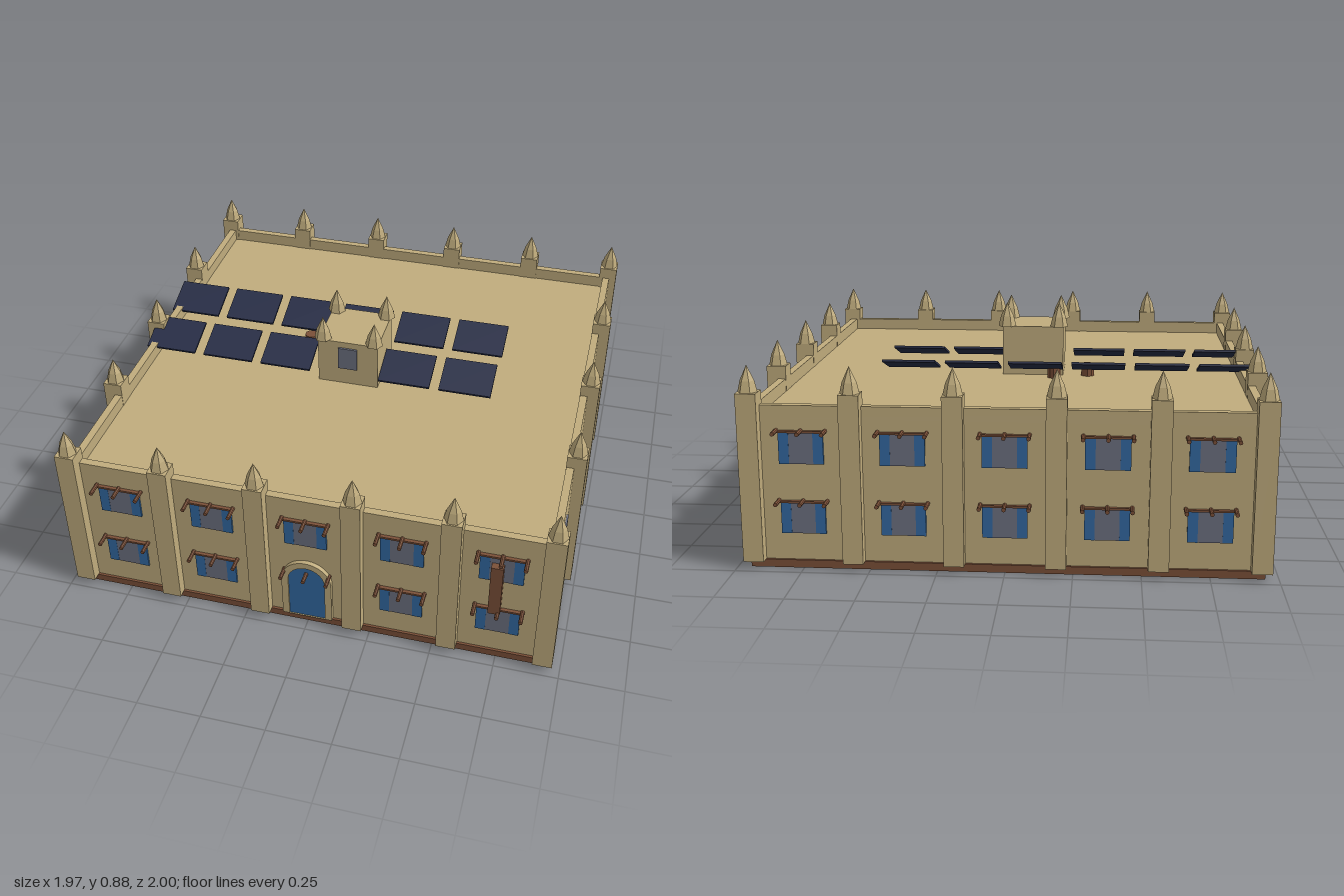
import * as THREE from 'three';

export function createModel() {
  const model = new THREE.Group();
  const mat = (name, color) => {
    const m = new THREE.MeshStandardMaterial({ color, flatShading: true });
    m.name = name;
    return m;
  };
  const stone = mat('sandstone', 0xc0ac7d);
  const wood = mat('brown wood', 0x7b5038);
  const blue = mat('blue paint', 0x3369a2);
  const glass = mat('grey glass', 0x6d7181);
  const navy = mat('navy panel', 0x262c45);

  const add = (parent, name, geo, material, x, y, z) => {
    const mesh = new THREE.Mesh(geo, material);
    mesh.name = name;
    mesh.position.set(x, y, z);
    parent.add(mesh);
    return mesh;
  };
  const box = (parent, name, material, w, h, d, x, y, z) =>
    add(parent, name, new THREE.BoxGeometry(w, h, d), material, x, y, z);

  // Foundation and main block with a sunken roof
  const WALL = 0.94, ROOF = 0.57, TOP = 0.62;
  box(model, 'foundation', wood, 1.9, 0.03, 1.9, 0, 0.015, 0);
  box(model, 'mainBlock', stone, WALL * 2, ROOF - 0.03, WALL * 2, 0, (ROOF + 0.03) / 2, 0);
  for (const s of [-1, 1]) {
    const y = (ROOF + TOP) / 2, h = TOP - ROOF;
    box(model, 'parapet', stone, WALL * 2, h, 0.03, 0, y, s * (WALL - 0.015));
    box(model, 'parapet', stone, 0.03, h, WALL * 2 - 0.06, s * (WALL - 0.015), y, 0);
  }

  // Six-sided pointed finial, slightly bulging
  const finialGeo = new THREE.LatheGeometry([
    new THREE.Vector2(0, 0), new THREE.Vector2(0.037, 0),
    new THREE.Vector2(0.027, 0.042), new THREE.Vector2(0, 0.1)
  ], 6);
  finialGeo.rotateY(Math.PI / 6);
  const finial = (x, y, z) => add(model, 'finial', finialGeo, stone, x, y, z);

  // Buttresses around the walls, each topped by a finial
  const buttress = (x, z) => {
    box(model, 'buttress', stone, 0.076, 0.64, 0.076, x, 0.35, z);
    finial(x, 0.67, z);
  };
  for (const s of [-1, 1]) {
    for (let i = 0; i < 6; i++) buttress(-0.935 + i * 0.3735, s * 0.945);
    for (const z of [-0.467, 0, 0.467]) buttress(s * 0.947, z);
  }

  // Front and back facades: shuttered windows with lintels and beam ends
  const facade = (isFront) => {
    const g = new THREE.Group();
    g.name = isFront ? 'frontFacade' : 'backFacade';
    for (let i = -2; i <= 2; i++) {
      const x = i * 0.373;
      for (const y of [0.193, 0.46]) {
        const atDoor = isFront && i === 0 && y < 0.3;
        if (!atDoor) {
          box(g, 'windowPane', glass, 0.09, 0.118, 0.008, x, y, WALL + 0.003);
          for (const s of [-1, 1])
            box(g, 'shutter', blue, 0.038, 0.118, 0.009, x + s * 0.064, y, WALL + 0.0035);
          box(g, 'lintel', wood, 0.19, 0.008, 0.016, x, y + 0.063, WALL + 0.006);
        }
        for (const o of [-0.09, 0, 0.09]) {
          const beam = add(g, 'beamEnd', new THREE.CylinderGeometry(0.008, 0.008, 0.07, 8),
            wood, x + o, y + 0.066, 0.965);
          beam.rotation.x = Math.PI / 2;
        }
      }
    }
    if (!isFront) g.rotation.y = Math.PI;
    model.add(g);
    return g;
  };
  const front = facade(true);
  facade(false);

  // Arched front door and its stone surround
  const arch = (r, spring) => {
    const s = new THREE.Shape();
    s.moveTo(-r, 0);
    s.lineTo(r, 0);
    s.lineTo(r, spring);
    s.absarc(0, spring, r, 0, Math.PI, false);
    s.lineTo(-r, 0);
    return s;
  };
  const surround = arch(0.1, 0.188);
  surround.holes.push(arch(0.073, 0.188));
  const slab = (shape, depth) =>
    new THREE.ExtrudeGeometry(shape, { depth, bevelEnabled: false, curveSegments: 16 });
  add(front, 'doorSurround', slab(surround, 0.02), stone, 0, 0.03, WALL - 0.002);
  add(front, 'door', slab(arch(0.073, 0.188), 0.014), blue, 0, 0.03, WALL - 0.002);

  // Upright post between the storeys
  box(front, 'post', wood, 0.046, 0.235, 0.03, 0.732, 0.373, 0.96);

  // Side windows
  for (const s of [-1, 1])
    for (const z of [-0.7, -0.233, 0.233, 0.7])
      for (const y of [0.193, 0.46])
        box(model, 'sideWindow', glass, 0.009, 0.118, 0.09, s * (WALL + 0.003), y, z);

  // Roof turret
  const tx = -0.052;
  box(model, 'turret', stone, 0.255, 0.775 - ROOF, 0.252, tx, (0.775 + ROOF) / 2, 0);
  box(model, 'turretWindow', glass, 0.08, 0.1, 0.009, tx, 0.698, 0.13);
  for (const sx of [-1, 1])
    for (const sz of [-1, 1]) finial(tx + sx * 0.109, 0.775, sz * 0.109);

  // Two rows of tilted roof panels, broken by the turret
  [-0.248, 0.05].forEach((z, row) => {
    for (let i = 0; i < 6; i++) {
      if (row === 1 && i === 3) continue;
      const p = box(model, 'roofPanel', navy, 0.218, 0.01, 0.166, -0.845 + i * 0.258, 0.635, z);
      p.rotation.x = 0.33;
    }
  });

  // Short chimney pots
  for (const [x, z] of [[-0.283, -0.122], [-0.143, -0.172]])
    add(model, 'chimneyPot', new THREE.CylinderGeometry(0.028, 0.028, 0.052, 10), wood, x, 0.594, z);

  return model;
}
